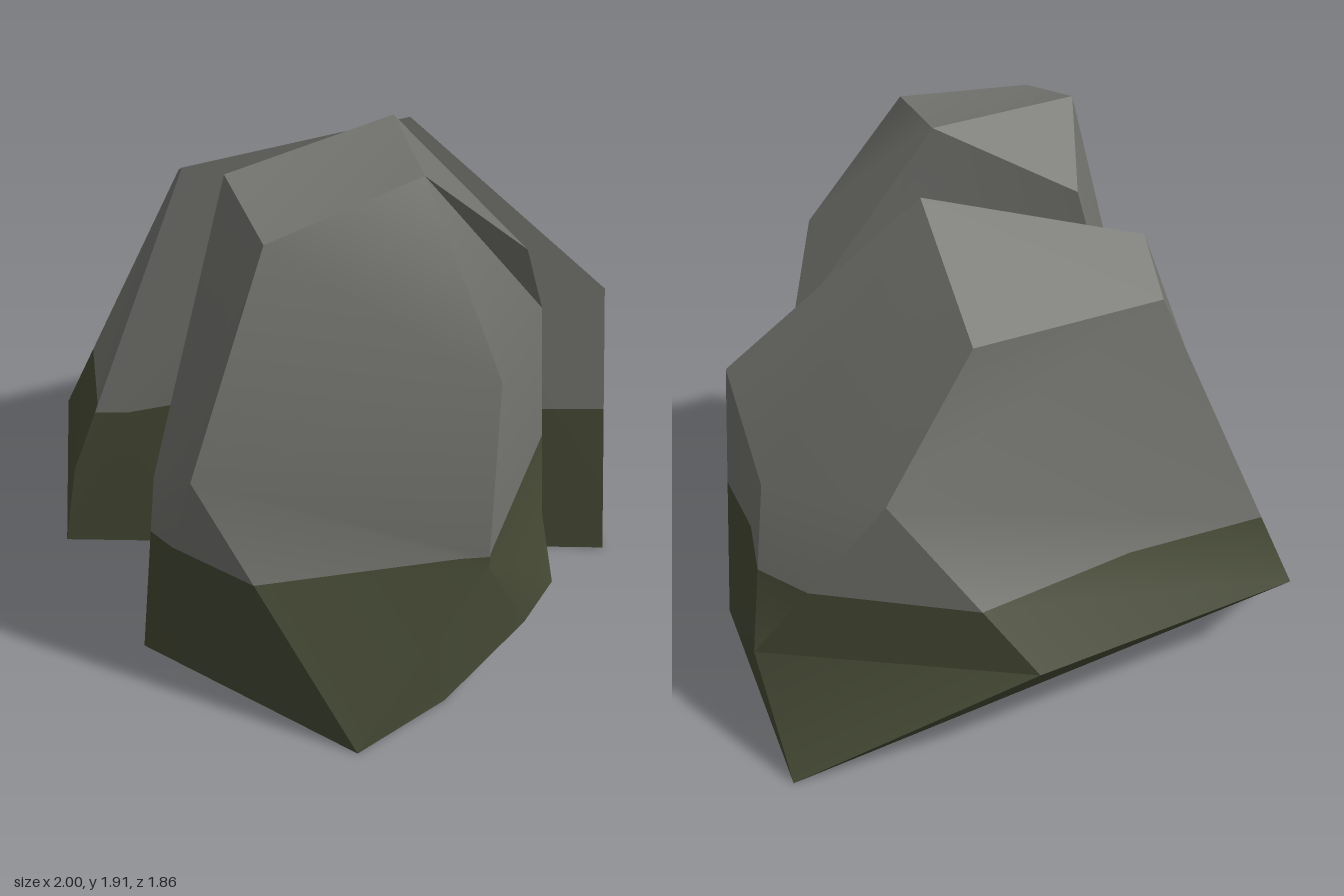
import * as THREE from 'three';
import { toCreasedNormals } from 'three/addons/utils/BufferGeometryUtils.js';

const MOSS_LINE = 0.63;
const CREASE = 0.5;

const stone = new THREE.MeshStandardMaterial({ color: 0x71716d });
stone.name = 'grey stone';
const moss = new THREE.MeshStandardMaterial({ color: 0x454934 });
moss.name = 'dark moss';

// Front boulder: corners from crown to base, then its facets
const frontCorners = [
  [-0.71, 1.8, 0.5], [-0.66, 1.875, 0.2], [-0.07, 1.915, 0.24], [-0.18, 1.885, 0.56],
  [-0.46, 1.67, -0.06], [0.2, 1.51, 0.6], [-0.11, 1.29, 0.885], [0.35, 1.18, 0.515],
  [-0.97, 0.99, 0.44], [-1, 0.9, 0.25], [-0.16, 0.59, 0.925], [0.4, 0.27, 0.53],
  [0.09, 0.135, 0.83], [0.33, 0.09, 0.69], [0.31, 0, 0.48], [-0.28, 0, 0.87],
  [-0.66, 0, 0.9], [-1, 0, 0.06], [-0.76, 0.37, -0.25], [-0.76, 0, -0.25],
];
const frontFacets = [
  [0, 3, 2, 1], [1, 2, 4], // crown
  [8, 16, 10, 6, 0], [0, 6, 3], [16, 15, 12, 10], // front left
  [3, 6, 7, 5], [10, 11, 7, 6], [10, 12, 13, 11], // front right
  [3, 5, 2], [2, 5, 7], [11, 13, 14], // right edge
  [2, 7, 11, 14, 19, 18, 4], // split face
  [8, 9, 17, 16], [0, 1, 9, 8], [9, 1, 4, 18, 19, 17], // left side
  [15, 14, 13, 12], [16, 17, 19, 14, 15], // underside
];

// Back boulder, in the same order
const backCorners = [
  [0.11, 1.78, 0.08], [-0.52, 1.6, -0.33], [-0.43, 1.47, -0.525], [0.26, 1.48, -0.375],
  [0.65, 1.13, 0.49], [0.6, 1.0, -0.35], [0.77, 0.9, 0.12], [0.29, 0.4, -0.77],
  [-0.76, 0.36, -0.93], [0.94, 0.36, -0.03], [1, 0, -0.32], [0.67, 0, 0.58],
  [-0.94, 0.38, -0.52], [-0.97, 0, -0.6],
];
const backFacets = [
  [0, 3, 2, 1], // crown
  [0, 4, 6, 5, 3], [6, 9, 5], [5, 9, 7], [9, 10, 7], // right side
  [11, 10, 9, 6, 4], // front right edge
  [5, 2, 3], [5, 8, 2], [5, 7, 8], // back
  [12, 1, 2, 8, 13], // left end
  [0, 1, 12, 13, 11, 4], // split face
  [10, 13, 8, 7], [11, 13, 10], // underside
];

// Fan each facet into triangles
function fan(polygon) {
  const tris = [];
  for (let k = 1; k + 1 < polygon.length; k++) tris.push([polygon[0], polygon[k], polygon[k + 1]]);
  return tris;
}

// Keep the part of the triangles above (side = 1) or below (side = -1) the moss line
function clipAtMoss(triangles, side) {
  const out = [];
  const height = (p) => side * (p.y - MOSS_LINE);
  for (const tri of triangles) {
    const poly = [];
    tri.forEach((a, k) => {
      const b = tri[(k + 1) % 3];
      const ha = height(a), hb = height(b);
      if (ha >= 0) poly.push(a);
      if (ha * hb < 0) poly.push(a.clone().lerp(b, ha / (ha - hb)));
    });
    for (const piece of fan(poly)) out.push(...piece);
  }
  const geo = new THREE.BufferGeometry().setFromPoints(out);
  return toCreasedNormals(geo, CREASE);
}

// One faceted boulder with a mossy foot
function makeBoulder(name, corners, facets) {
  const boulder = new THREE.Group();
  boulder.name = name;
  const points = corners.map((c) => new THREE.Vector3(...c));
  const triangles = facets.flatMap((facet) => fan(facet.map((i) => points[i])));
  const top = new THREE.Mesh(clipAtMoss(triangles, 1), stone);
  top.name = name + 'Stone';
  const foot = new THREE.Mesh(clipAtMoss(triangles, -1), moss);
  foot.name = name + 'MossyFoot';
  boulder.add(top, foot);
  return boulder;
}

export function createModel() {
  const model = new THREE.Group();
  model.name = 'splitRock';
  model.add(
    makeBoulder('frontBoulder', frontCorners, frontFacets),
    makeBoulder('backBoulder', backCorners, backFacets),
  );
  return model;
}
